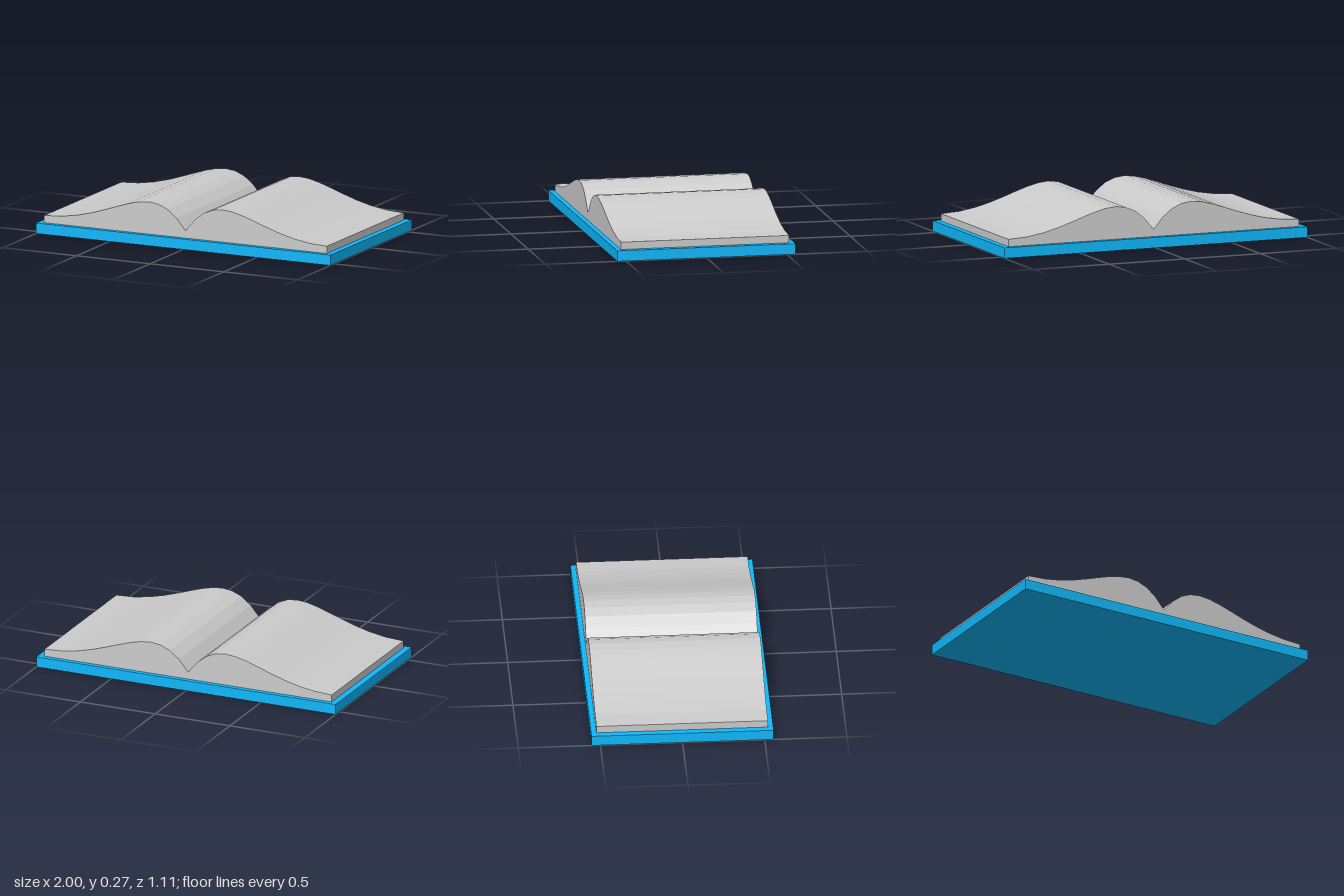
import * as THREE from 'three';

const COVER_H = 0.065, COVER_D = 1.108, PAGE_D = 1.044, PAGE_W = 0.96, EDGE_Y = 0.11;

export function createModel() {
  const group = new THREE.Group();
  group.name = 'openBook';

  // Flat cover slab under the pages
  const cover = new THREE.Mesh(
    new THREE.BoxGeometry(2, COVER_H, COVER_D),
    new THREE.MeshStandardMaterial({ color: 0x0fb8fb })
  );
  cover.name = 'cover';
  cover.position.y = COVER_H / 2;
  group.add(cover);

  // Page block: two mirrored page curves meeting at the central gutter
  const profile = new THREE.Shape();
  profile.moveTo(-PAGE_W, COVER_H);
  profile.lineTo(PAGE_W, COVER_H);
  profile.lineTo(PAGE_W, EDGE_Y);
  profile.bezierCurveTo(0.465, EDGE_Y, 0.25, 0.46, 0, EDGE_Y);
  profile.bezierCurveTo(-0.25, 0.46, -0.465, EDGE_Y, -PAGE_W, EDGE_Y);
  profile.closePath();

  const pageGeometry = new THREE.ExtrudeGeometry(profile, {
    depth: PAGE_D, bevelEnabled: false, curveSegments: 12,
  });
  pageGeometry.translate(0, 0, -PAGE_D / 2);
  const pages = new THREE.Mesh(
    pageGeometry,
    new THREE.MeshStandardMaterial({ color: 0xcccccc, flatShading: true })
  );
  pages.name = 'pages';
  group.add(pages);

  return group;
}
